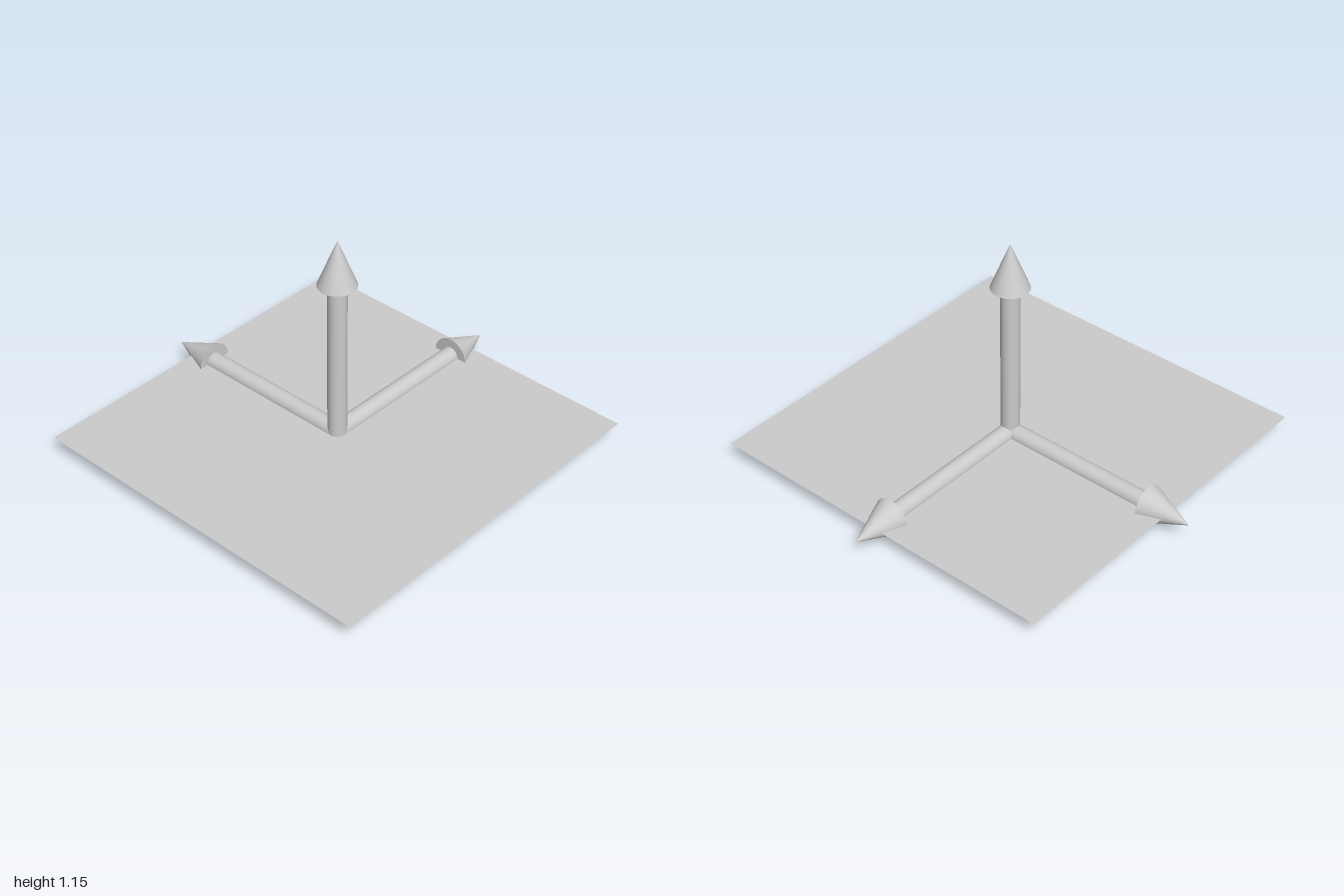
import * as THREE from 'three';

const ORIGIN = [-0.06, 0.094, 0.06];
const SHAFT_RADIUS = 0.047, SHAFT_LENGTH = 0.825;
const HEAD_RADIUS = 0.094, HEAD_LENGTH = 0.235;
const SIDES = 32;

const material = new THREE.MeshStandardMaterial({ color: 0xcccccc });
const sheetMaterial = new THREE.MeshStandardMaterial({ color: 0xcccccc, side: THREE.DoubleSide });

function addMesh(parent, name, geometry, mat = material) {
  const mesh = new THREE.Mesh(geometry, mat);
  mesh.name = name;
  parent.add(mesh);
  return mesh;
}

// Arrow starting at the local origin and pointing along the given direction
function makeArrow(name, direction) {
  const arrow = new THREE.Group();
  arrow.name = name;
  addMesh(arrow, 'shaft', new THREE.CylinderGeometry(SHAFT_RADIUS, SHAFT_RADIUS, SHAFT_LENGTH, SIDES))
    .position.y = SHAFT_LENGTH / 2;
  addMesh(arrow, 'head', new THREE.ConeGeometry(HEAD_RADIUS, HEAD_LENGTH, SIDES))
    .position.y = SHAFT_LENGTH + HEAD_LENGTH / 2;
  arrow.quaternion.setFromUnitVectors(new THREE.Vector3(0, 1, 0), direction);
  return arrow;
}

export function createModel() {
  const model = new THREE.Group();
  model.name = 'axisArrows';

  // Everything shares one centre, where the three arrows meet
  const axes = new THREE.Group();
  axes.name = 'axes';
  axes.position.set(...ORIGIN);
  model.add(axes);

  axes.add(
    makeArrow('sideArrow', new THREE.Vector3(1, 0, 0)),
    makeArrow('upArrow', new THREE.Vector3(0, 1, 0)),
    makeArrow('backArrow', new THREE.Vector3(0, 0, -1)),
  );

  // Flat square sheet through the centre
  const sheet = addMesh(axes, 'groundSheet', new THREE.PlaneGeometry(1.88, 1.88), sheetMaterial);
  sheet.rotation.x = -Math.PI / 2;

  return model;
}
